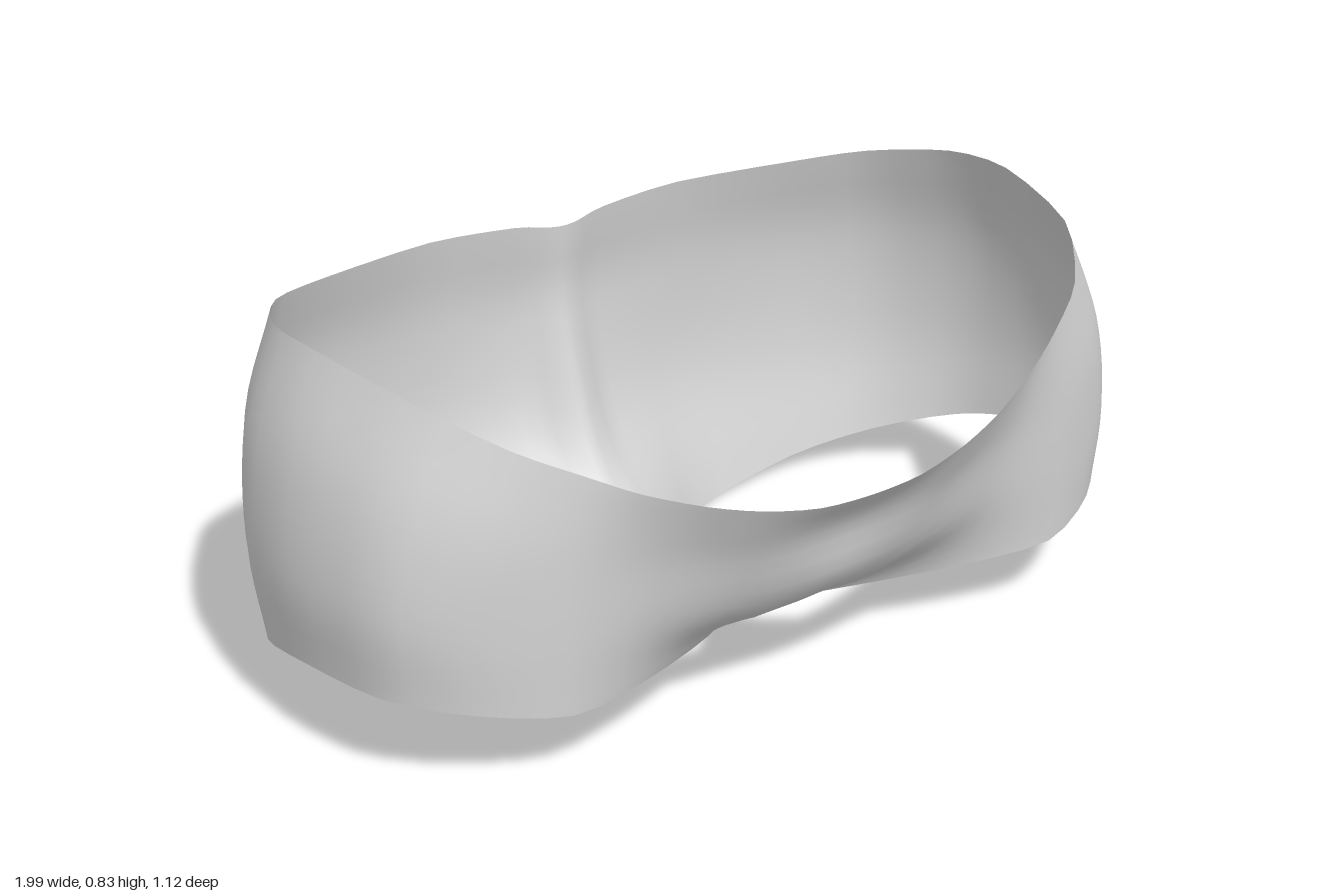
import * as THREE from 'three';

// Half loops from front centre, round the left side, to back centre (x, y, z triples)
const waist = [
  0, .50, .56, .13, .505, .555, .26, .53, .54, .38, .565, .515, .50, .61, .475, .60, .66, .435,
  .72, .72, .365, .83, .79, .215, .89, .83, -.04, .88, .825, -.22, .78, .80, -.39, .62, .785, -.47,
  .33, .78, -.527, .12, .77, -.517, .04, .758, -.503, 0, .755, -.50];
const upperHip = [
  0, .41, .49, .10, .41, .49, .23, .415, .485, .36, .44, .467, .49, .46, .445, .635, .49, .43,
  .79, .54, .365, .915, .59, .225, .965, .62, -.02, .95, .60, -.225, .84, .59, -.415, .66, .57, -.52,
  .36, .56, -.56, .12, .54, -.54, .042, .54, -.508, 0, .54, -.495];
const lowerHip = [
  0, .225, .41, .06, .215, .40, .15, .215, .395, .29, .25, .41, .46, .29, .42, .645, .31, .425,
  .83, .355, .35, .95, .39, .225, .995, .39, -.01, .965, .36, -.23, .85, .33, -.41, .66, .30, -.515,
  .35, .28, -.545, .12, .25, -.46, .05, .21, -.385, 0, .195, -.35];
const legHem = [
  0, .06, -.02, .03, .03, -.02, .058, .065, .12, .18, .115, .26, .42, .14, .37, .63, .155, .42,
  .81, .185, .35, .935, .205, .22, .975, .20, -.01, .94, .15, -.22, .81, .09, -.38, .62, .04, -.46,
  .32, 0, -.425, .09, .02, -.18, .03, .03, -.02, 0, .06, -.02];

// Mirror a half loop into a closed smooth curve
function fullLoop(half) {
  const points = [];
  for (let i = 0; i < half.length; i += 3) points.push(new THREE.Vector3(half[i], half[i + 1], half[i + 2]));
  const n = points.length;
  for (let i = n - 2; i > 0; i--) points.push(points[i].clone().setX(-points[i].x));
  return new THREE.CatmullRomCurve3(points, true, 'catmullrom', 0.4);
}

// Skin the loops with a smooth open surface
function skin(loops, columns, rows) {
  const positions = [], index = [];
  for (let i = 0; i < columns; i++) {
    const column = new THREE.CatmullRomCurve3(
      loops.map((loop) => loop.getPoint(i / columns)), false, 'catmullrom', 0.5);
    for (let j = 0; j <= rows; j++) positions.push(...column.getPoint(j / rows).toArray());
  }
  for (let i = 0; i < columns; i++) {
    for (let j = 0; j < rows; j++) {
      const a = i * (rows + 1) + j;
      const b = ((i + 1) % columns) * (rows + 1) + j;
      index.push(a, a + 1, b, b, a + 1, b + 1);
    }
  }
  const geometry = new THREE.BufferGeometry();
  geometry.setAttribute('position', new THREE.Float32BufferAttribute(positions, 3));
  geometry.setIndex(index);
  geometry.computeVertexNormals();
  return geometry;
}

export function createModel() {
  const group = new THREE.Group();
  group.name = 'briefs';
  const fabric = new THREE.MeshStandardMaterial({ color: 0xd4d4d4, side: THREE.DoubleSide });
  fabric.name = 'light grey fabric';

  // One cloth shell: open waist, two leg openings, joined at the gusset
  const loops = [waist, upperHip, lowerHip, legHem].map(fullLoop);
  const shell = new THREE.Mesh(skin(loops, 90, 15), fabric);
  shell.name = 'fabricShell';
  group.add(shell);
  return group;
}
